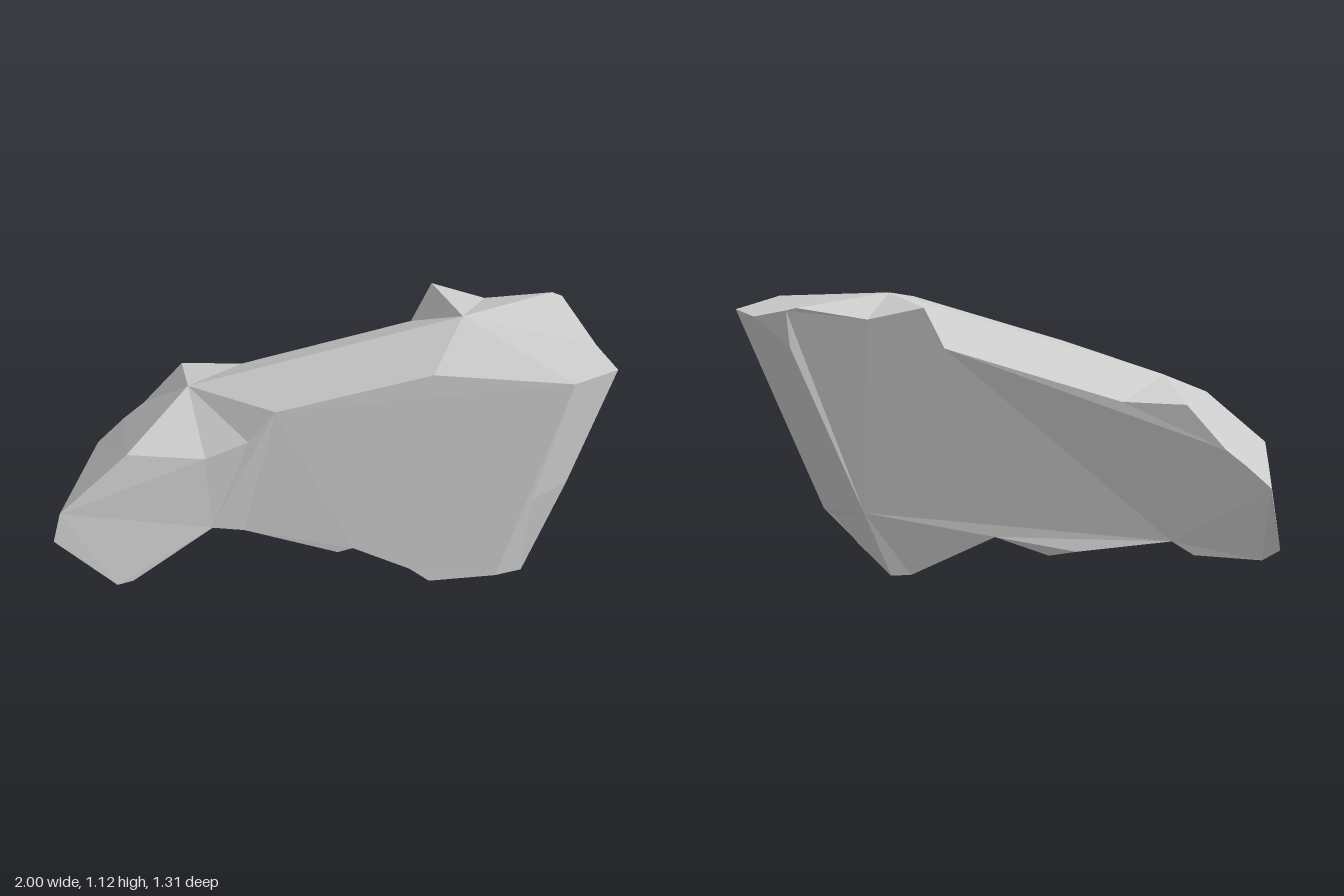
import * as THREE from 'three';

// Outline of the broad front face: upper edge (left to right), then lower edge (left to right)
const frontTop = [
  [-1, 0.3, -0.21], [-0.96, 0.41, -0.23], [-0.69, 0.645, -0.18], [-0.43, 0.65, -0.02],
  [-0.28, 0.73, 0.05], [-0.18, 0.865, 0.085], [0.34, 1.055, 0.36], [0.78, 1.06, 0.64],
];
const frontBottom = [
  [-0.81, 0.14, -0.04], [-0.75, 0.155, -0.02], [-0.44, 0.37, 0.055], [-0.33, 0.36, 0.11],
  [-0.03, 0.3, 0.32], [0.02, 0.325, 0.35], [0.2, 0.255, 0.48], [0.26, 0.21, 0.53], [0.48, 0.255, 0.655],
];
// Outline of the broad back face: upper edge, thick end, lower edge
const backTop = [
  [-0.74, 0.08, -0.6], [-0.64, 0.36, -0.655], [-0.53, 0.46, -0.635], [-0.45, 0.53, -0.61],
  [-0.3, 0.715, -0.555], [-0.09, 0.73, -0.43], [0.5, 0.95, -0.125], [0.58, 1.11, -0.115],
  [0.75, 1.065, 0.005], [0.97, 1.11, 0.14], [1, 1.1, 0.165],
];
const backEnd = [[0.985, 0.96, 0.17], [0.69, 0.28, 0.165], [0.57, 0.005, 0.175], [0.5, 0.005, 0.14]];
const backBottom = [
  [-0.69, 0.035, -0.55], [-0.44, 0.07, -0.435], [-0.35, 0.135, -0.41], [-0.02, 0.105, -0.235],
  [0.06, 0.085, -0.165], [0.25, 0.17, -0.075], [0.28, 0.145, -0.03],
];
// Points between the two faces: two summits, the chamfer bend and the end face
const lowPeak = [-0.37, 0.78, -0.32], highPeak = [0.57, 1.125, 0.155];
const bend = [0.62, 0.58, 0.655], endBack = [1, 1.035, 0.43];
const endFront = [[0.99, 1.035, 0.6], [0.79, 0.58, 0.62], [0.63, 0.185, 0.6], [0.62, 0.17, 0.53], [0.6, 0.09, 0.38]];
const chamferFoot = [0.58, 0.23, 0.615];

const dist = (p, q) => Math.hypot(p[0] - q[0], p[1] - q[1], p[2] - q[2]);

// Joins two polylines with triangles, always taking the shorter diagonal
function strip(out, a, b) {
  let i = 0, j = 0;
  while (i < a.length - 1 || j < b.length - 1) {
    const stepA = j === b.length - 1 ||
      (i < a.length - 1 && dist(a[i + 1], b[j]) <= dist(a[i], b[j + 1]));
    if (stepA) out.push(a[i], a[++i], b[j]);
    else out.push(a[i], b[j + 1], b[j++]);
  }
}

// Fills an outline, facing +z (sign 1) or -z (sign -1)
function cap(out, ring, sign) {
  const flat = ring.map(([x, y]) => new THREE.Vector2(x, y));
  for (const [a, b, c] of THREE.ShapeUtils.triangulateShape(flat, [])) {
    const turn = THREE.ShapeUtils.area([flat[a], flat[b], flat[c]]);
    if (turn * sign > 0) out.push(ring[a], ring[b], ring[c]);
    else out.push(ring[a], ring[c], ring[b]);
  }
}

export function createModel() {
  const tris = [];
  const ft = frontTop, fb = frontBottom, bt = backTop, bb = backBottom;

  // Broad faces
  cap(tris, [...ft, bend, ...[...fb].reverse()], 1);
  cap(tris, [...bt, ...backEnd, ...[...bb].reverse()], -1);

  // Narrow tip and the sloping top
  strip(tris, ft.slice(0, 2), bt.slice(0, 2));
  strip(tris, [ft[1], ft[2], lowPeak], bt.slice(1, 5));
  strip(tris, [...ft.slice(2, 7), highPeak], [lowPeak]);
  strip(tris, [lowPeak], [...bt.slice(4, 7), highPeak]);
  strip(tris, [ft[6], ft[7], endFront[0], endBack, ...bt.slice(6).reverse()], [highPeak]);

  // Chamfer and thick end
  strip(tris, [ft[7], bend, fb[8], chamferFoot], endFront.slice(0, 3));
  strip(tris, endFront, [endBack, ...backEnd.slice(0, 3)]);
  strip(tris, [endBack], [bt[10], backEnd[0]]);

  // Hollowed underside, in four stretches
  strip(tris, [bt[0], ...bb.slice(0, 3)], [ft[0], ...fb.slice(0, 3)]);
  strip(tris, bb.slice(2, 5), fb.slice(2, 6));
  strip(tris, bb.slice(4, 6), fb.slice(5, 8));
  strip(tris, [bb[5], bb[6], backEnd[3], backEnd[2]], [fb[7], fb[8], chamferFoot, ...endFront.slice(2)]);

  const geometry = new THREE.BufferGeometry();
  geometry.setAttribute('position', new THREE.Float32BufferAttribute(tris.flat(), 3));
  geometry.computeVertexNormals();
  const rock = new THREE.Mesh(geometry, new THREE.MeshStandardMaterial({ color: 0xcccccc, flatShading: true }));
  rock.name = 'rock';

  const group = new THREE.Group();
  group.name = 'slabRock';
  group.add(rock);
  return group;
}
